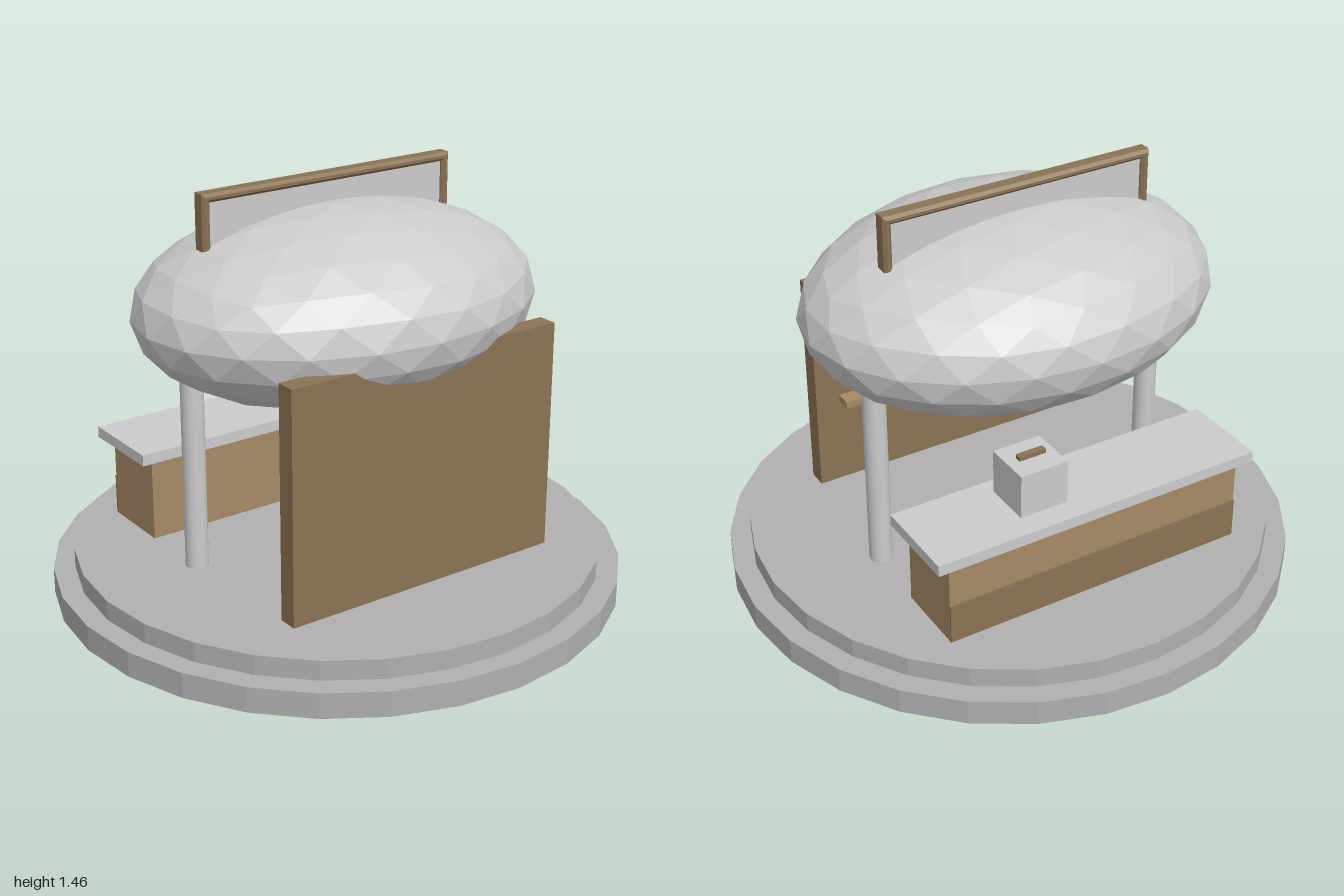
import * as THREE from 'three';

const mat = (color) => new THREE.MeshStandardMaterial({ color, flatShading: true });

export function createModel() {
  const grey = mat(0xcccccc);
  const stone = mat(0xb0b0b0);
  const darkWood = mat(0x8b7355);
  const lightWood = mat(0xa68a64);

  const model = new THREE.Group();
  model.name = 'kiosk';

  const add = (name, geometry, material, x = 0, y = 0, z = 0) => {
    const mesh = new THREE.Mesh(geometry, material);
    mesh.name = name;
    mesh.position.set(x, y, z);
    model.add(mesh);
    return mesh;
  };
  // Box given by its lower and upper bounds on each axis
  const box = (name, material, [x0, x1], [y0, y1], [z0, z1]) =>
    add(name, new THREE.BoxGeometry(x1 - x0, y1 - y0, z1 - z0), material,
      (x0 + x1) / 2, (y0 + y1) / 2, (z0 + z1) / 2);

  // Two-step round base
  add('lowerBase', new THREE.CylinderGeometry(1, 1, 0.09, 28), stone, 0, 0.045);
  add('upperBase', new THREE.CylinderGeometry(0.925, 0.925, 0.07, 28), stone, 0, 0.125);

  // Faceted egg-shaped roof with a vertex at its top
  const roof = new THREE.IcosahedronGeometry(1, 3);
  roof.rotateX(-Math.atan((1 + Math.sqrt(5)) / 2));
  roof.rotateY(Math.PI / 2);
  roof.scale(0.735, 0.328, 0.572);
  add('roof', roof, grey, 0, 1.031, 0);

  // Posts running up into the roof
  const postMaterial = new THREE.MeshStandardMaterial({ color: 0xcccccc });
  for (const side of [-1, 1]) {
    add(side > 0 ? 'leftPost' : 'rightPost',
      new THREE.CylinderGeometry(0.04, 0.04, 0.78, 16), postMaterial, side * 0.545, 0.55, -0.055);
  }

  // Front wall with two shelves on its inner side
  box('wall', darkWood, [-0.53, 0.53], [0.16, 0.975], [0.44, 0.51]);
  for (const y of [0.487, 0.71]) {
    box('shelf', lightWood, [-0.44, 0.44], [y, y + 0.027], [0.38, 0.44]);
  }

  // Counter at the back
  box('counterBody', lightWood, [-0.565, 0.565], [0.16, 0.46], [-0.575, -0.31]);
  box('counterPanel', darkWood, [-0.565, 0.565], [0.16, 0.305], [-0.581, -0.573]);
  box('counterTop', grey, [-0.615, 0.615], [0.46, 0.5], [-0.6, -0.28]);

  // Small machine on the counter
  box('machine', grey, [0.085, 0.262], [0.5, 0.66], [-0.515, -0.34]);
  box('machineHandle', darkWood, [0.12, 0.22], [0.66, 0.676], [-0.437, -0.413]);

  // Sign board in a bevelled frame, sunk into the roof
  const rect = (Type, w, y0, y1) => {
    const path = new Type();
    path.moveTo(-w, y0).lineTo(w, y0).lineTo(w, y1).lineTo(-w, y1).closePath();
    return path;
  };
  const frame = rect(THREE.Shape, 0.49, 1.14, 1.445);
  frame.holes.push(rect(THREE.Path, 0.48, 1.15, 1.435));
  add('signFrame', new THREE.ExtrudeGeometry(frame, {
    depth: 0.04, bevelEnabled: true, bevelSize: 0.01, bevelThickness: 0.01, bevelSegments: 1,
  }), darkWood, 0, 0, -0.077);
  box('signBoard', grey, [-0.475, 0.475], [1.145, 1.44], [-0.072, -0.042]);

  return model;
}
